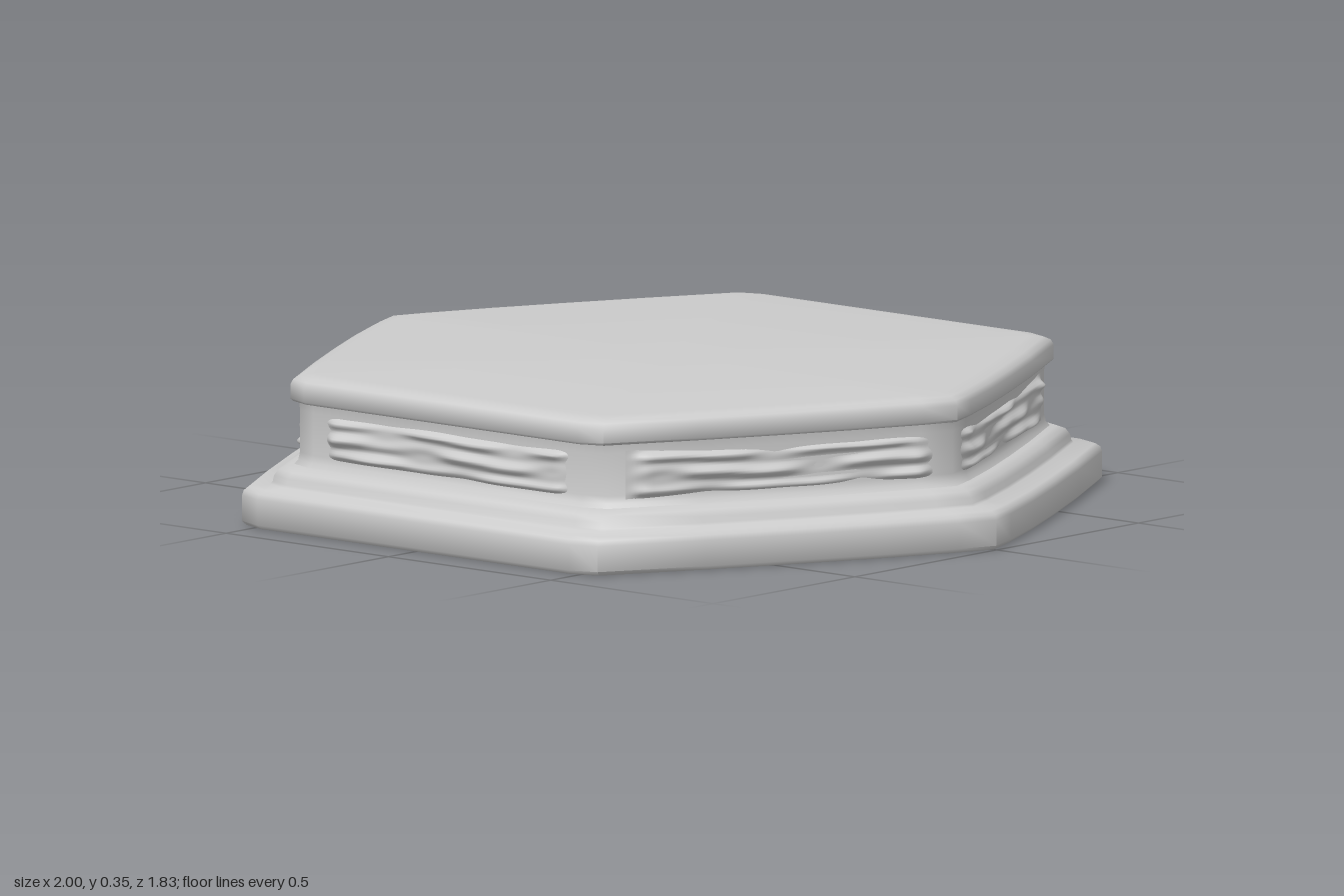
import * as THREE from 'three';
import { toCreasedNormals } from 'three/addons/utils/BufferGeometryUtils.js';

// One quarter of the bowed hexagon outline, on a unit scale in x and z.
const QUARTER = [[1, 0], [0.965, 0.1], [0.885, 0.29], [0.79, 0.495], [0.68, 0.72], [0.548, 0.974], [0.48, 1]];
const flip = (pts, sx, sz) => pts.map(([x, z]) => [x * sx, z * sz]);
const OUTLINE = [
  ...QUARTER,
  ...flip(QUARTER, -1, 1).reverse(),
  ...flip(QUARTER, -1, -1).slice(1),
  ...flip(QUARTER, 1, -1).reverse().slice(0, -1),
];

// Skins the outline along a profile of [x radius, z radius, y].
function loft(profile) {
  const n = OUTLINE.length, pos = [], index = [];
  for (const [rx, rz, y] of profile) {
    for (const [x, z] of OUTLINE) pos.push(x * rx, y, z * rz);
  }
  for (let i = 0; i < profile.length - 1; i++) {
    for (let j = 0; j < n; j++) {
      const k = (j + 1) % n;
      const a = i * n + j, b = i * n + k, c = a + n, d = b + n;
      if (profile[i + 1][0] > 0) index.push(a, c, d);
      if (profile[i][0] > 0) index.push(a, d, b);
    }
  }
  const g = new THREE.BufferGeometry();
  g.setAttribute('position', new THREE.Float32BufferAttribute(pos, 3));
  g.setIndex(index);
  return toCreasedNormals(g, 0.95);
}

// Worn carved band: soft horizontal ridges that fade out at the borders.
function reliefGeometry(width, height, seed) {
  const g = new THREE.PlaneGeometry(width, height, 72, 24);
  const p = g.attributes.position;
  for (let i = 0; i < p.count; i++) {
    const x = p.getX(i), y = p.getY(i);
    const u = 1 - Math.abs(x) / (width / 2), v = 1 - Math.abs(y) / (height / 2);
    const fade = THREE.MathUtils.smoothstep(u, 0, 0.15) * THREE.MathUtils.smoothstep(v, 0, 0.4);
    const sway = 0.005 * Math.sin(x * 9 + seed);
    const ridge = 0.5 + 0.5 * Math.cos((y + sway) * 150);
    const lump = 0.5 + 0.35 * Math.sin(x * 15 + y * 40 + seed * 2) + 0.15 * Math.sin(x * 33 - y * 60 + seed);
    p.setZ(i, -0.006 + fade * (0.012 + 0.02 * ridge * lump));
  }
  g.computeVertexNormals();
  return g;
}

export function createModel() {
  const model = new THREE.Group();
  model.name = 'hexagonalPlinth';
  const stone = new THREE.MeshStandardMaterial({ color: 0xcccccc });
  stone.name = 'light grey stone';

  const add = (name, geometry, parent = model) => {
    const mesh = new THREE.Mesh(geometry, stone);
    mesh.name = name;
    parent.add(mesh);
    return mesh;
  };

  // Solid foot with a flat underside, topped by a smaller moulded step
  add('base', loft([
    [0, 0, 0], [0.99, 0.903, 0], [1, 0.913, 0.01],
    [1, 0.913, 0.07], [0.996, 0.909, 0.082], [0.984, 0.898, 0.09],
    [0.93, 0.855, 0.094], [0.925, 0.85, 0.1], [0.922, 0.847, 0.114],
    [0.91, 0.838, 0.128], [0.89, 0.82, 0.136], [0.85, 0.78, 0.14],
  ]));

  // Recessed neck
  add('neck', loft([
    [0.88, 0.804, 0.135], [0.868, 0.794, 0.148], [0.865, 0.79, 0.165],
    [0.865, 0.79, 0.265], [0.866, 0.791, 0.28], [0.868, 0.793, 0.292],
  ]));

  // Rounded top slab
  add('topSlab', loft([
    [0.8, 0.73, 0.287], [0.874, 0.809, 0.287], [0.88, 0.815, 0.293],
    [0.88, 0.815, 0.326], [0.874, 0.809, 0.338], [0.858, 0.793, 0.346],
    [0.825, 0.762, 0.35], [0, 0, 0.35],
  ]));

  // Carved relief on each of the six sides
  const slant = 63.2;
  [0, slant, 180 - slant, 180, slant - 180, -slant].forEach((deg, i) => {
    const a = THREE.MathUtils.degToRad(deg);
    const flat = deg % 180 === 0;
    const side = new THREE.Group();
    side.name = 'reliefSide';
    side.rotation.y = a;
    const panel = add('reliefPanel', reliefGeometry(0.78, 0.12, i * 1.7), side);
    panel.position.set(flat ? 0 : -0.04 * Math.sign(Math.sin(2 * a)), 0.21, flat ? 0.79 : 0.78);
    model.add(side);
  });

  return model;
}
